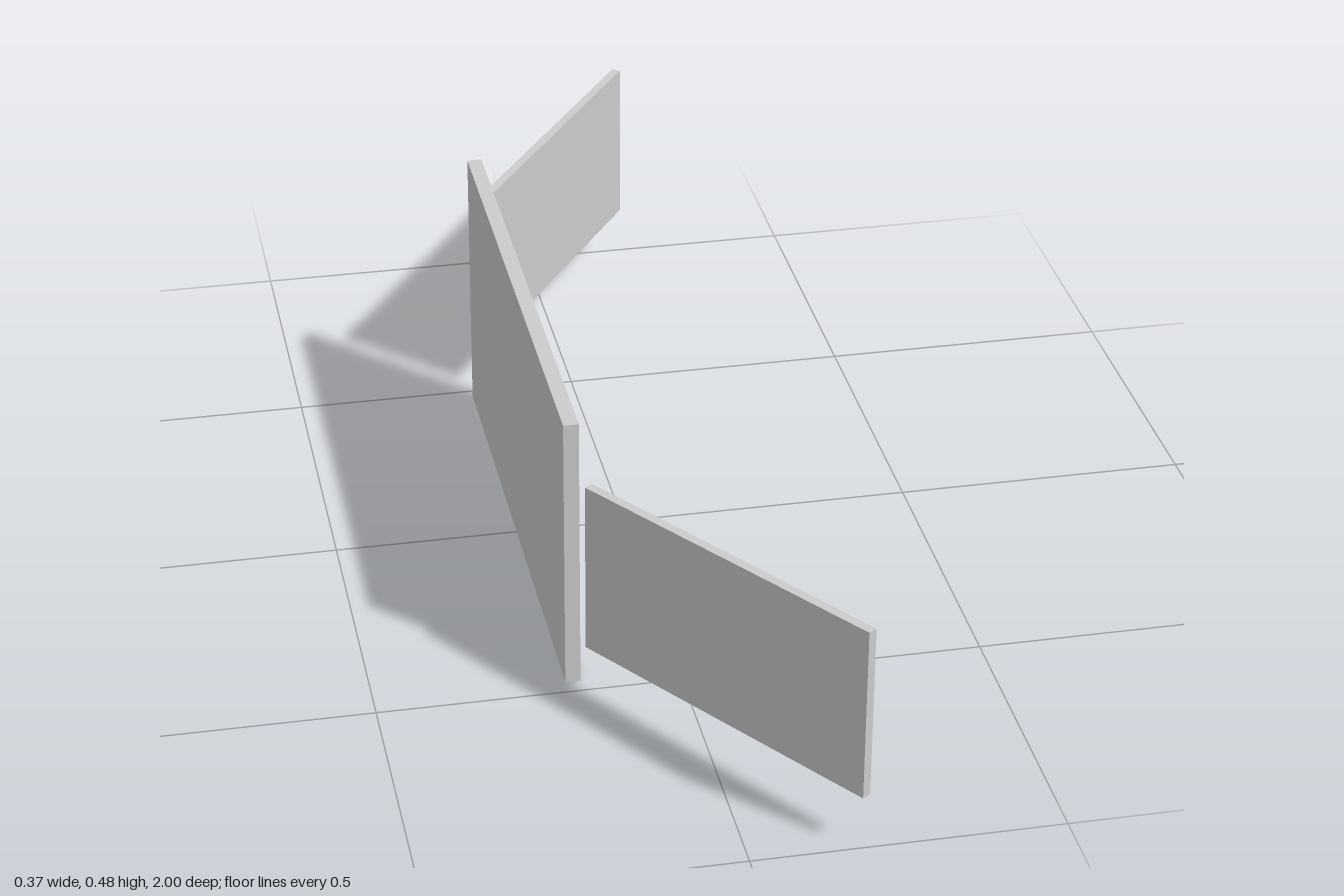
import * as THREE from 'three';

export function createModel() {
  const model = new THREE.Group();
  const material = new THREE.MeshStandardMaterial({ color: 0xcccccc });

  // A thin upright panel running along z, turned about the vertical axis
  function addPanel(name, [thickness, height, length], [x, y, z], turn = 0) {
    const panel = new THREE.Mesh(new THREE.BoxGeometry(thickness, height, length), material);
    panel.name = name;
    panel.position.set(x, y, z);
    panel.rotation.y = turn;
    model.add(panel);
  }

  // Large middle panel standing on the ground
  addPanel('centrePanel', [0.025, 0.48, 0.953], [-0.1745, 0.24, -0.005]);

  // Smaller raised panels, angled forward at both ends
  for (const side of [1, -1]) {
    addPanel(side > 0 ? 'frontWingPanel' : 'backWingPanel',
      [0.016, 0.298, 0.59], [0.013, 0.241, side * 0.7525], side * 0.603);
  }

  return model;
}
